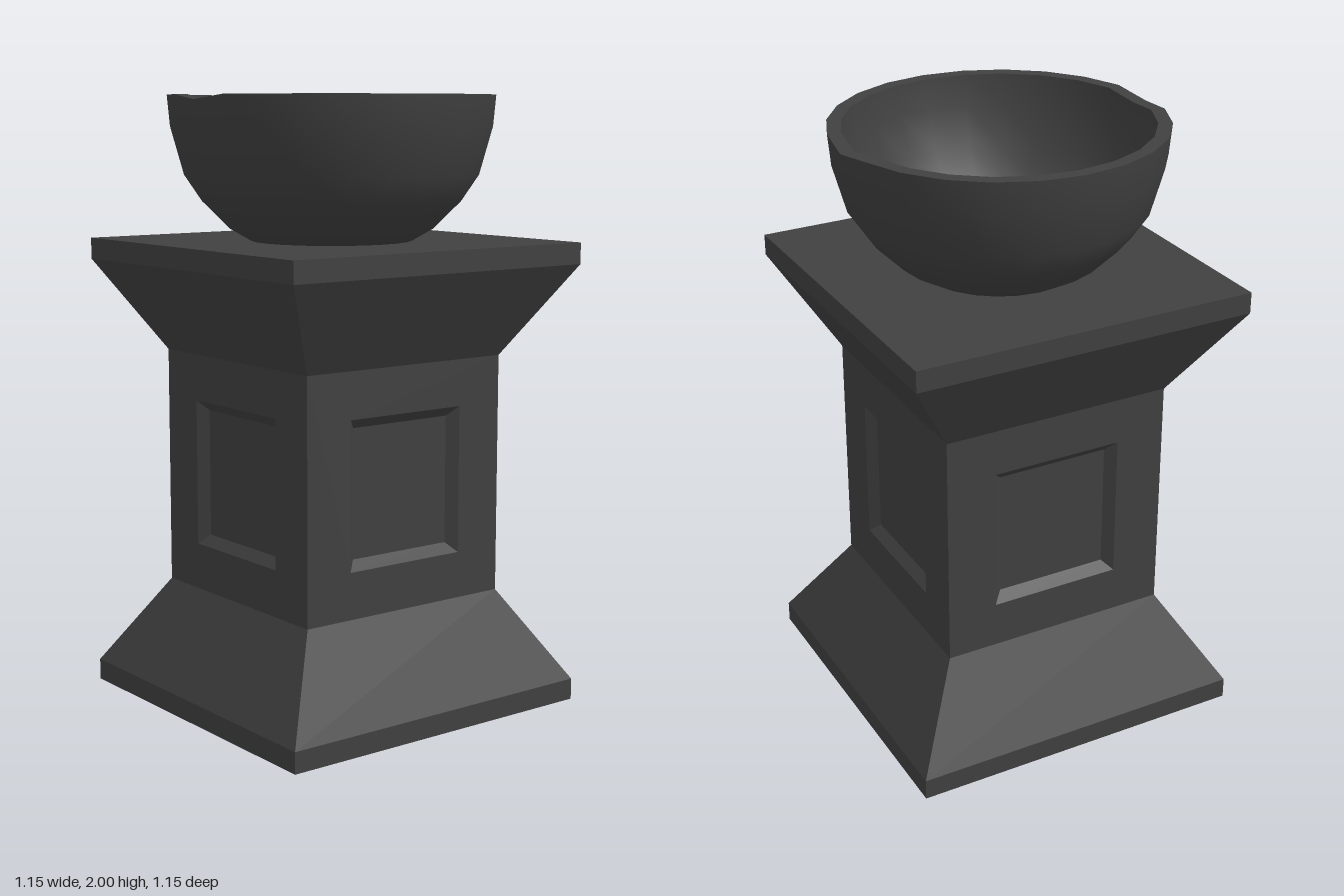
import * as THREE from 'three';

const stone = new THREE.MeshStandardMaterial({ color: 0x404040, flatShading: true });
const bowlStone = new THREE.MeshStandardMaterial({ color: 0x404040 });

// Skin over rectangular sections [halfWidth, halfHeight, z], optionally capped
function rectLoft(sections, capStart, capEnd) {
  const pos = [];
  const rings = sections.map(([w, h, z]) => [[-w, -h, z], [w, -h, z], [w, h, z], [-w, h, z]]);
  const quad = (a, b, c, d) => pos.push(...a, ...b, ...c, ...a, ...c, ...d);
  for (let k = 0; k < rings.length - 1; k++) {
    for (let i = 0; i < 4; i++) {
      const j = (i + 1) % 4;
      quad(rings[k][i], rings[k][j], rings[k + 1][j], rings[k + 1][i]);
    }
  }
  if (capStart) quad(...[...rings[0]].reverse());
  if (capEnd) quad(...rings[rings.length - 1]);
  const geo = new THREE.BufferGeometry();
  geo.setAttribute('position', new THREE.Float32BufferAttribute(pos, 3));
  geo.computeVertexNormals();
  return geo;
}

function add(parent, name, geo, mat) {
  const mesh = new THREE.Mesh(geo, mat);
  mesh.name = name;
  parent.add(mesh);
  return mesh;
}

export function createModel() {
  const model = new THREE.Group();
  model.name = 'pedestalBowl';
  const W = 0.573, S = 0.39, shaftBottom = 0.37, shaftTop = 1.16;

  // Flared foot and mirrored flared capital
  const upright = (sections, start, end) =>
    rectLoft(sections.map(([w, y]) => [w, w, y]), start, end).rotateX(-Math.PI / 2);
  add(model, 'foot', upright([[W, 0], [W, 0.07], [S, shaftBottom]], true, false), stone);
  add(model, 'capital', upright([[S, shaftTop], [W, 1.46], [W, 1.53]], false, true), stone);

  // Shaft: four walls, each with a bevelled sunken panel
  const shaft = new THREE.Group();
  shaft.name = 'shaft';
  model.add(shaft);
  const wall = rectLoft([
    [S, (shaftTop - shaftBottom) / 2, S],
    [0.222, 0.242, S],
    [0.19, 0.21, S - 0.03],
  ], false, true).translate(0, (shaftTop + shaftBottom) / 2, 0);
  for (let i = 0; i < 4; i++) {
    add(shaft, 'panelledWall', wall, stone).rotation.y = i * Math.PI / 2;
  }

  // Bowl: separate skins keep the rim edges sharp
  const bowl = new THREE.Group();
  bowl.name = 'bowl';
  model.add(bowl);
  const skins = {
    bowlOutside: [[0, 1.525], [0.255, 1.525], [0.333, 1.57], [0.423, 1.66], [0.48, 1.745], [0.523, 1.9], [0.532, 2]],
    bowlRim: [[0.532, 2], [0.487, 2]],
    bowlInside: [[0.487, 2], [0.478, 1.9], [0.438, 1.77], [0.382, 1.69], [0.3, 1.615], [0.2, 1.575], [0.1, 1.56], [0, 1.555]],
  };
  for (const [name, profile] of Object.entries(skins)) {
    const geo = new THREE.LatheGeometry(profile.map(([r, y]) => new THREE.Vector2(r, y)), 24);
    // Small dips in the rim at front and back
    const p = geo.attributes.position;
    for (let i = 0; i < p.count; i++) {
      if (p.getY(i) > 1.99 && Math.abs(p.getX(i)) < 0.05) p.setY(i, 1.984);
    }
    add(bowl, name, geo, bowlStone);
  }
  return model;
}
